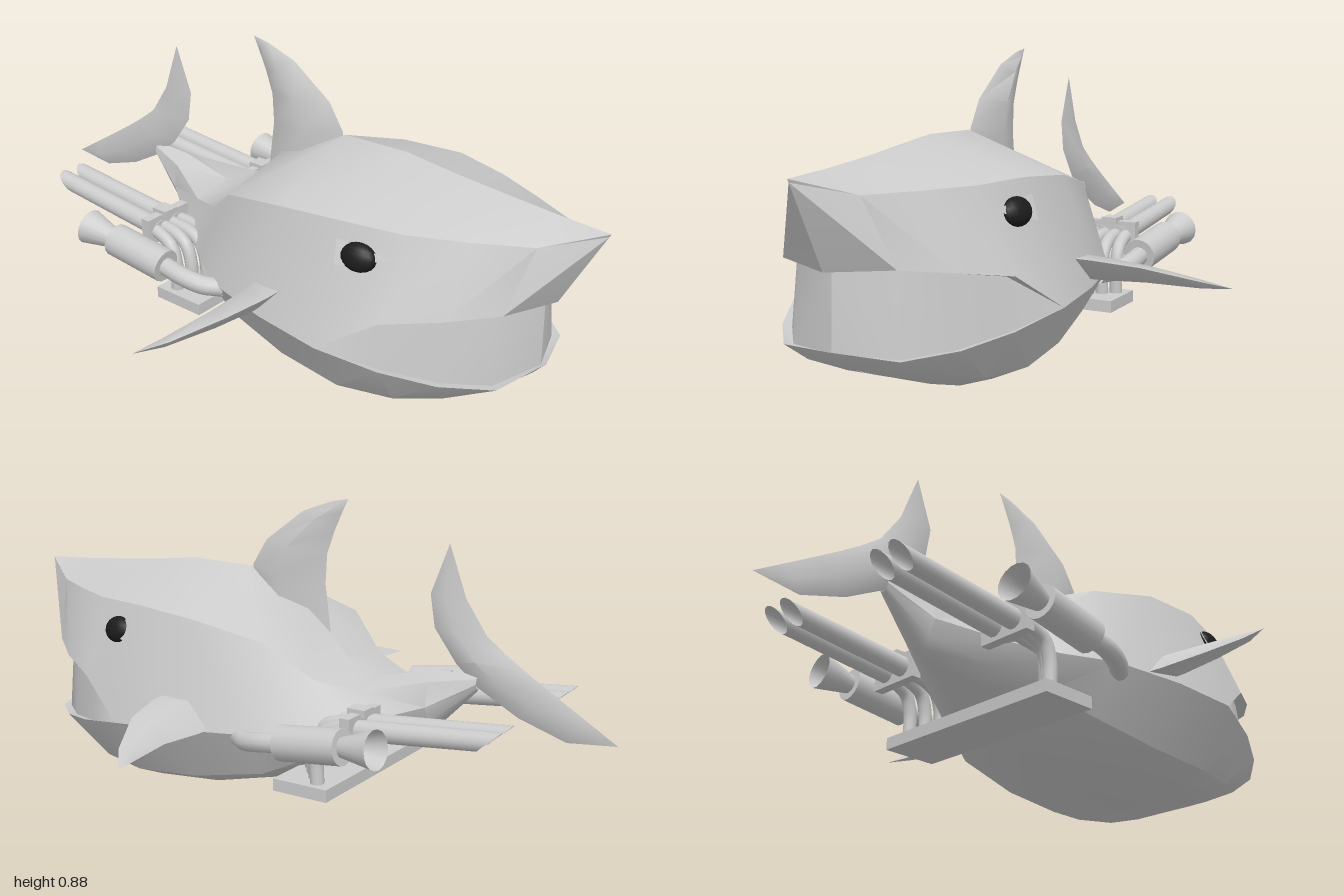
import * as THREE from 'three';
import { toCreasedNormals } from 'three/addons/utils/BufferGeometryUtils.js';

const grey = new THREE.MeshStandardMaterial({ color: 0xcccccc });
const thin = new THREE.MeshStandardMaterial({ color: 0xcccccc, side: THREE.DoubleSide });
const black = new THREE.MeshStandardMaterial({ color: 0x1c1c1c });
const V = (x, y, z) => new THREE.Vector3(x, y, z);

function add(parent, name, geometry, material = grey) {
  const mesh = new THREE.Mesh(geometry, material);
  mesh.name = name;
  parent.add(mesh);
  return mesh;
}

// Skin a grid of points (rows of equal length); mirror also adds the -z half.
function skin(rows, mirror, crease) {
  const pos = [];
  const tri = (a, b, c) => {
    const area = V().crossVectors(b.clone().sub(a), c.clone().sub(a)).length();
    if (area < 1e-8) return;
    for (const p of [a, b, c]) pos.push(p.x, p.y, p.z);
    if (mirror) for (const p of [a, c, b]) pos.push(p.x, p.y, -p.z);
  };
  for (let i = 0; i < rows.length - 1; i++) {
    for (let j = 0; j < rows[i].length - 1; j++) {
      const a = rows[i][j], b = rows[i + 1][j], c = rows[i][j + 1], d = rows[i + 1][j + 1];
      tri(a, c, b);
      tri(b, c, d);
    }
  }
  const g = new THREE.BufferGeometry();
  g.setAttribute('position', new THREE.Float32BufferAttribute(pos, 3));
  return toCreasedNormals(g, crease);
}

// Trunk sections: x, back y, shoulder y z, flank y z, lower y z, belly y z, keel y
const TRUNK = [
  [-0.60, 0.43, 0.42, 0.015, 0.405, 0.02, 0.395, 0.015, 0.387, 0.008, 0.385],
  [-0.47, 0.425, 0.40, 0.05, 0.33, 0.065, 0.28, 0.045, 0.255, 0.02, 0.25],
  [-0.30, 0.385, 0.365, 0.135, 0.28, 0.18, 0.215, 0.14, 0.185, 0.07, 0.18],
  [-0.18, 0.42, 0.395, 0.19, 0.26, 0.26, 0.165, 0.20, 0.13, 0.11, 0.125],
  [-0.05, 0.56, 0.50, 0.26, 0.25, 0.345, 0.11, 0.26, 0.07, 0.15, 0.065],
  [0.17, 0.66, 0.548, 0.30, 0.24, 0.39, 0.07, 0.29, 0.022, 0.18, 0.02],
  [0.38, 0.665, 0.565, 0.29, 0.228, 0.405, 0.055, 0.30, 0.006, 0.19, 0.004],
];
// Head sections: back, shoulder, upper lip, mouth top, mouth bottom, lower lip, lower, belly, keel
const HEAD = [
  [[0.55, 0.645, 0], [0.55, 0.56, 0.245], [0.54, 0.335, 0.345], [0.53, 0.33, 0.315], [0.54, 0.19, 0.33],
    [0.55, 0.195, 0.35], [0.54, 0.06, 0.26], [0.50, 0.015, 0.16], [0.48, 0.01, 0]],
  [[0.70, 0.632, 0], [0.70, 0.56, 0.175], [0.69, 0.362, 0.265], [0.67, 0.358, 0.235], [0.68, 0.165, 0.25],
    [0.69, 0.17, 0.275], [0.67, 0.09, 0.21], [0.60, 0.042, 0.13], [0.58, 0.035, 0]],
  [[0.85, 0.62, 0], [0.85, 0.562, 0.095], [0.81, 0.382, 0.17], [0.775, 0.378, 0.15], [0.79, 0.156, 0.16],
    [0.81, 0.158, 0.175], [0.77, 0.115, 0.13], [0.70, 0.08, 0.07], [0.67, 0.068, 0]],
  [[1, 0.612, 0], [0.995, 0.603, 0], [0.875, 0.372, 0], [0.84, 0.37, 0], [0.845, 0.165, 0],
    [0.86, 0.172, 0], [0.825, 0.132, 0], [0.75, 0.1, 0], [0.72, 0.086, 0]],
];

function bodyGeometry() {
  const rows = TRUNK.map(([x, t, ey, ez, wy, wz, ly, lz, by, bz, k]) => {
    const flank = V(x, wy, wz);
    return [V(x, t, 0), V(x, ey, ez), flank, flank, flank, flank, V(x, ly, lz), V(x, by, bz), V(x, k, 0)];
  });
  for (const section of HEAD) rows.push(section.map((p) => V(...p)));
  return skin(rows, true, 0.55);
}

// Fin of lozenge sections: [leading point, trailing point, half thickness] along a normal
function finGeometry(sections, normal) {
  return skin(sections.map(([l, t, h]) => {
    const lead = V(...l), trail = V(...t), mid = lead.clone().lerp(trail, 0.45);
    const off = normal.clone().multiplyScalar(h);
    return [lead, mid.clone().add(off), trail, mid.clone().sub(off), lead];
  }), false, 0.9);
}

// Tube through a few points
const pipe = (points, r) =>
  new THREE.TubeGeometry(new THREE.CatmullRomCurve3(points), 14, r, 12, false);

// Cylinder from a to b (radius ra at a, rb at b)
function rod(a, b, ra, rb, open = false) {
  const g = new THREE.CylinderGeometry(rb, ra, a.distanceTo(b), 16, 1, open);
  const dir = b.clone().sub(a).normalize();
  g.applyQuaternion(new THREE.Quaternion().setFromUnitVectors(V(0, 1, 0), dir));
  const m = a.clone().lerp(b, 0.5);
  return g.translate(m.x, m.y, m.z);
}

// Long tailpipe with a slanted open end
function tailpipe(z) {
  const g = rod(V(-0.34, 0.295, z), V(-0.755, 0.335, z), 0.03, 0.03, true);
  const p = g.attributes.position;
  for (let i = 0; i < p.count; i++) {
    if (p.getX(i) < -0.6) p.setX(i, p.getX(i) - (p.getY(i) - 0.335) * 1.2);
  }
  return g;
}

// Exhaust set for the +z side (s = 1) or the -z side (s = -1)
function exhaust(s) {
  const g = new THREE.Group();
  g.name = s > 0 ? 'rightExhaust' : 'leftExhaust';
  const P = (x, y, z) => V(x, y, z * s);
  for (const z of [0.19, 0.26]) add(g, 'tailpipe', tailpipe(z * s), thin);
  // clamp with a cap strip
  add(g, 'pipeClamp', new THREE.BoxGeometry(0.03, 0.085, 0.17)).position.copy(P(-0.355, 0.298, 0.225));
  add(g, 'clampBracket', new THREE.BoxGeometry(0.055, 0.02, 0.05)).position.copy(P(-0.355, 0.342, 0.225));
  // header pipes turning down to the mounting plate
  for (let i = 0; i < 4; i++) {
    const z = 0.172 + i * 0.035, x = -0.17 - i * 0.028;
    add(g, 'headerPipe', pipe([P(-0.36, 0.298, z), P(x - 0.07, 0.29, z), P(x - 0.02, 0.265, z + 0.004),
      P(x, 0.21, z + 0.006), P(x, 0.12, z + 0.006)], 0.02), thin);
  }
  // side muffler with feed pipe and flared outlet
  add(g, 'mufflerFeed', pipe([P(-0.02, 0.235, 0.325), P(-0.07, 0.24, 0.36), P(-0.13, 0.253, 0.378),
    P(-0.22, 0.267, 0.38)], 0.028), thin);
  add(g, 'muffler', rod(P(-0.20, 0.265, 0.38), P(-0.40, 0.292, 0.39), 0.05, 0.05));
  add(g, 'mufflerFlare', rod(P(-0.39, 0.291, 0.39), P(-0.505, 0.306, 0.4), 0.026, 0.054, true), thin);
  return g;
}

export function createModel() {
  const model = new THREE.Group();
  model.name = 'sharkWithExhausts';
  add(model, 'body', bodyGeometry(), thin);

  // Dorsal fin
  add(model, 'dorsalFin', finGeometry([
    [[0.16, 0.63, 0], [-0.12, 0.48, 0], 0.045],
    [[0.16, 0.665, 0], [-0.10, 0.63, 0], 0.048],
    [[0.11, 0.745, 0], [-0.105, 0.72, 0], 0.042],
    [[-0.02, 0.84, 0], [-0.13, 0.79, 0], 0.025],
    [[-0.12, 0.875, 0], [-0.155, 0.845, 0], 0.01],
    [[-0.175, 0.885, 0], [-0.175, 0.885, 0], 0],
  ], V(0, 0, 1)), thin);

  // Tail fin, upper tip to lower tip
  add(model, 'tailFin', finGeometry([
    [[-0.5, 0.785, 0], [-0.5, 0.785, 0], 0],
    [[-0.445, 0.64, 0], [-0.555, 0.635, 0], 0.012],
    [[-0.46, 0.545, 0], [-0.62, 0.54, 0], 0.02],
    [[-0.53, 0.45, 0], [-0.68, 0.495, 0], 0.03],
    [[-0.6, 0.39, 0], [-0.74, 0.455, 0], 0.028],
    [[-0.72, 0.325, 0], [-0.82, 0.405, 0], 0.018],
    [[-0.86, 0.28, 0], [-0.91, 0.35, 0], 0.011],
    [[-1, 0.295, 0], [-1, 0.295, 0], 0],
  ], V(0, 0, 1)), thin);

  for (const s of [1, -1]) {
    // Pectoral fin
    add(model, 'pectoralFin', finGeometry([
      [[0.225, 0.328, 0.33 * s], [0.06, 0.25, 0.33 * s], 0.035],
      [[0.222, 0.326, 0.41 * s], [0.065, 0.25, 0.41 * s], 0.033],
      [[0.19, 0.312, 0.54 * s], [0.075, 0.255, 0.54 * s], 0.024],
      [[0.115, 0.275, 0.68 * s], [0.062, 0.25, 0.68 * s], 0.012],
      [[0.05, 0.25, 0.755 * s], [0.05, 0.25, 0.755 * s], 0],
    ], V(-0.42, 0.9, 0)), thin);

    // Eye in a triangular lid
    const eye = add(model, 'eye', new THREE.SphereGeometry(1, 16, 10), black);
    eye.scale.set(0.052, 0.04, 0.028);
    eye.position.set(0.445, 0.483, 0.3 * s);
    eye.rotation.set(-0.33 * s, 0.2 * s, 0);
    const lid = new THREE.BufferGeometry().setFromPoints([
      V(0.38, 0.522, 0.309 * s), V(0.39, 0.455, 0.335 * s), V(0.54, 0.495, 0.279 * s)]);
    lid.computeVertexNormals();
    add(model, 'eyelid', lid, thin);

    model.add(exhaust(s));
  }

  // Plate across the underside carrying the header pipes
  add(model, 'mountingPlate', new THREE.BoxGeometry(0.175, 0.036, 0.64)).position.set(-0.218, 0.113, 0);
  return model;
}
